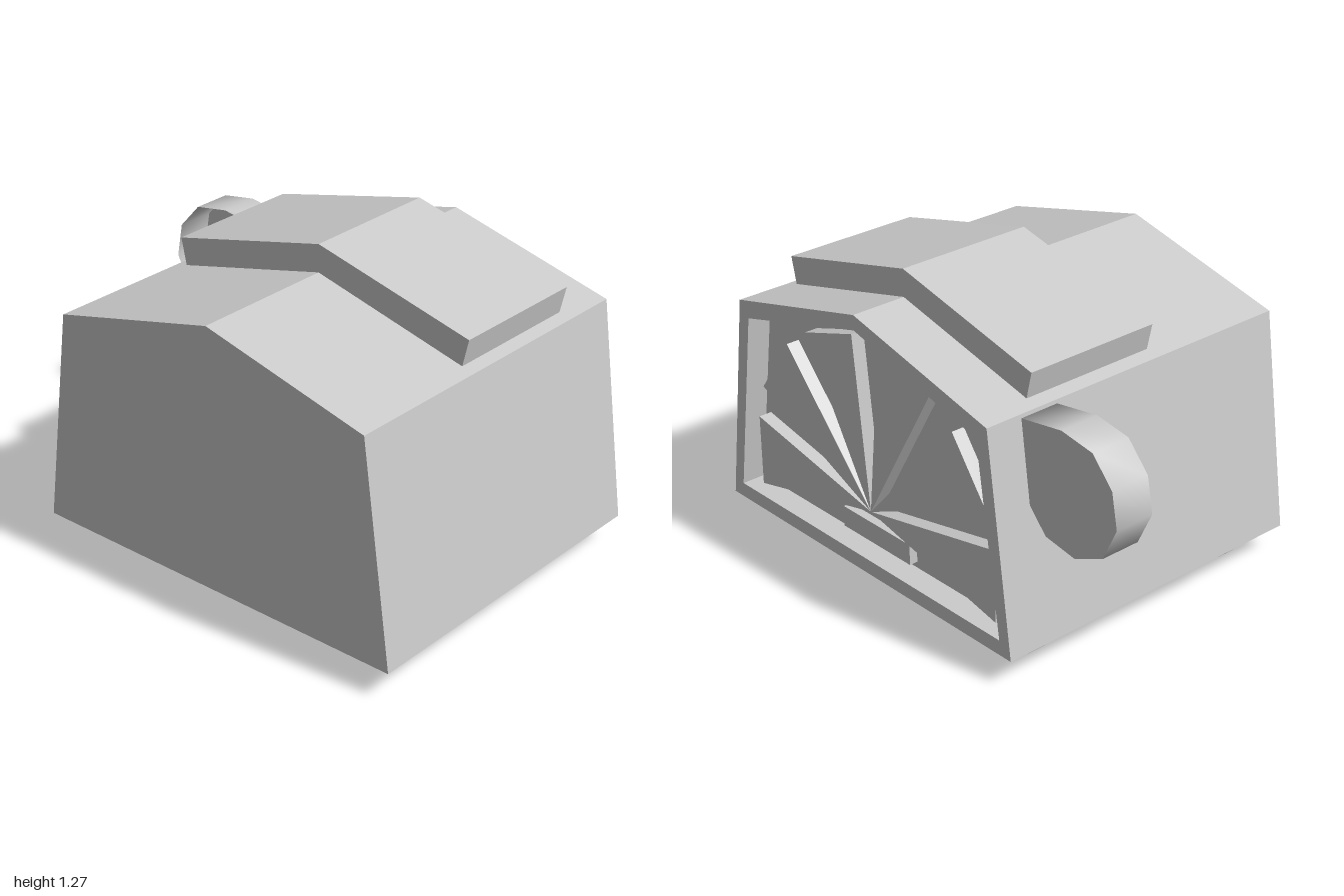
import * as THREE from 'three';

const mat = new THREE.MeshStandardMaterial({ color: 0xcccccc });
const thin = new THREE.MeshStandardMaterial({ color: 0xcccccc, side: THREE.DoubleSide });
const v2 = ([z, y]) => new THREE.Vector2(z, y);

// Side profile of [z, y] points, extruded along x from x0 to x1
function slab(name, points, x0, x1, hole) {
  const shape = new THREE.Shape(points.map(v2));
  if (hole) shape.holes.push(new THREE.Path(hole.map(v2)));
  const geo = new THREE.ExtrudeGeometry(shape, { depth: x1 - x0, bevelEnabled: false });
  geo.rotateY(-Math.PI / 2).translate(x1, 0, 0);
  const mesh = new THREE.Mesh(geo, mat);
  mesh.name = name;
  return mesh;
}

// Rounded tail on the back wall: a smooth band, closed by a flat cap on +x only
function makeTail(points, x0, x1) {
  const group = new THREE.Group();
  group.name = 'tail';
  const pos = [], index = [], n = points.length;
  points.forEach(([z, y], i) => {
    pos.push(x0, y, z, x1, y, z);
    const a = 2 * i, b = 2 * ((i + 1) % n);
    index.push(a, a + 1, b, a + 1, b + 1, b);
  });
  const bandGeo = new THREE.BufferGeometry();
  bandGeo.setAttribute('position', new THREE.Float32BufferAttribute(pos, 3));
  bandGeo.setIndex(index);
  bandGeo.computeVertexNormals();
  const band = new THREE.Mesh(bandGeo, thin);
  band.name = 'tailBand';

  // A shape faces +z; turn it to face +x by mirroring z in the profile
  const capGeo = new THREE.ShapeGeometry(new THREE.Shape(points.map(([z, y]) => v2([-z, y]))));
  capGeo.rotateY(Math.PI / 2).translate(x1, 0, 0);
  const cap = new THREE.Mesh(capGeo, thin);
  cap.name = 'tailCap';
  group.add(band, cap);
  return group;
}

export function createModel() {
  const model = new THREE.Group();
  const panelX = 0.6;

  // Gabled body with a framed recess on its left side
  const outline = [[1, 0.11], [0.88, 0.985], [0.18, 1.16], [-0.53, 0.985], [-0.645, 0.11]];
  const opening = [[0.94, 0.17], [0.83, 0.925], [0.18, 1.1], [-0.475, 0.925], [-0.585, 0.17]];
  model.add(slab('body', outline, -0.7, panelX));
  model.add(slab('recessFrame', outline, panelX, 0.7, opening));

  // Raised roof cover
  model.add(slab('roofCover', [
    [0.83, 0.998], [0.855, 1.105], [0.18, 1.27], [-0.5, 1.105], [-0.475, 0.998], [0.18, 1.15],
  ], -0.11, 0.47));

  // Fan of wedges meeting at one hub point
  const hub = [0.18, 0.345];
  const fan = new THREE.Group();
  fan.name = 'fan';
  [
    [[0.865, 0.185], [0.865, 0.48]],
    [[0.825, 0.625], [0.655, 0.865]],
    [[0.535, 0.955], [0.255, 1.045]],
    [[0.105, 1.045], [-0.175, 0.955]],
    [[-0.295, 0.865], [-0.47, 0.625]],
    [[-0.515, 0.485], [-0.515, 0.19]],
  ].forEach((ends) => fan.add(slab('fanWedge', [hub, ...ends], panelX, 0.655)));
  model.add(fan);

  // Small block below the fan
  const block = new THREE.Mesh(new THREE.BoxGeometry(0.05, 0.085, 0.39), mat);
  block.name = 'lowerBlock';
  block.position.set(0.61, 0.238, 0.178);
  model.add(block);

  // Tail, ending on the back wall
  model.add(makeTail([
    [-0.531, 0.97], [-0.73, 1], [-0.88, 0.975], [-0.975, 0.87], [-1, 0.73],
    [-0.935, 0.595], [-0.8, 0.535], [-0.655, 0.56], [-0.573, 0.65],
  ], 0.38, 0.545));

  // Four tapered square feet
  const footGeo = new THREE.CylinderGeometry(0.093 * Math.SQRT2, 0.039 * Math.SQRT2, 0.11, 4).toNonIndexed();
  footGeo.rotateY(Math.PI / 4).computeVertexNormals();
  for (const x of [-0.525, 0.47]) {
    for (const z of [0.84, -0.485]) {
      const foot = new THREE.Mesh(footGeo, mat);
      foot.name = 'foot';
      foot.position.set(x, 0.055, z);
      model.add(foot);
    }
  }
  return model;
}
